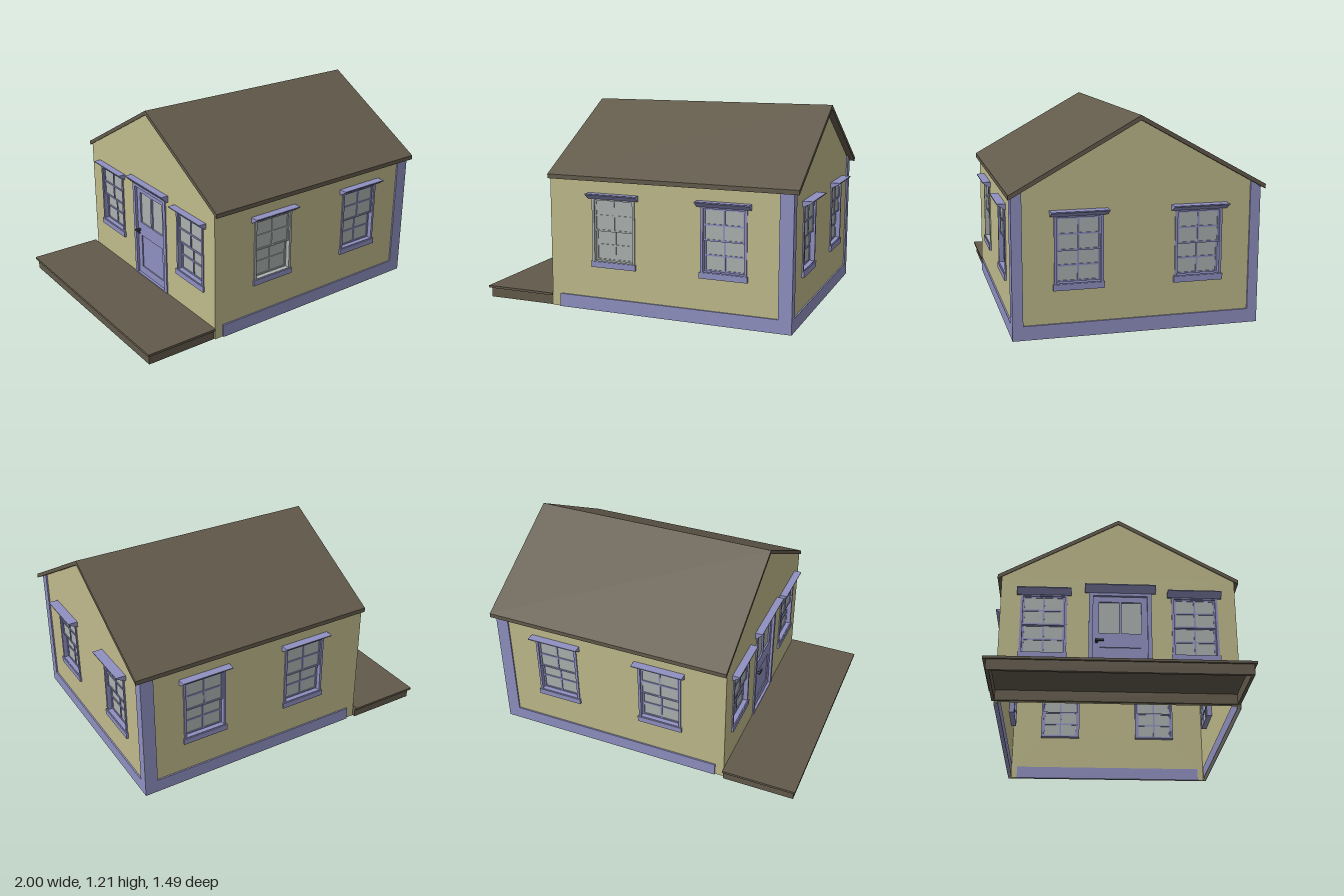
import * as THREE from 'three';

const mat = (name, color) => {
  const m = new THREE.MeshStandardMaterial({ color });
  m.name = name;
  return m;
};

export function createModel() {
  const wallMat = mat('wall yellow', 0xbfba8b);
  const trimMat = mat('trim blue', 0x8f90c0);
  const glassMat = mat('window grey', 0xabb1b0);
  const roofMat = mat('roof brown', 0x625a4b);
  const metalMat = mat('handle dark', 0x33333f);

  const model = new THREE.Group();
  model.name = 'cottage';
  const T = 0.012;                                  // wall thickness
  const X0 = -0.545, X1 = 0.94, Z = 0.695;          // wall faces
  const under = z => 1.182 - Math.abs(z) * 0.5556;  // underside of the roof

  const add = (parent, name, geo, m) => {
    const mesh = new THREE.Mesh(geo, m);
    mesh.name = name;
    parent.add(mesh);
    return mesh;
  };
  // Box given by its limits
  const box = (parent, name, m, x0, x1, y0, y1, z0, z1) => {
    const g = new THREE.BoxGeometry(x1 - x0, y1 - y0, z1 - z0);
    g.translate((x0 + x1) / 2, (y0 + y1) / 2, (z0 + z1) / 2);
    return add(parent, name, g, m);
  };
  // Flat plate from an outline with rectangular holes [x0, x1, y0, y1]
  const plate = (parent, name, m, pts, holes, z0, z1) => {
    const s = new THREE.Shape(pts.map(p => new THREE.Vector2(...p)));
    for (const [a, b, c, d] of holes) {
      s.holes.push(new THREE.Path([[a, c], [a, d], [b, d], [b, c]].map(p => new THREE.Vector2(...p))));
    }
    const g = new THREE.ExtrudeGeometry(s, { depth: z1 - z0, bevelEnabled: false });
    g.translate(0, 0, z0);
    return add(parent, name, g, m);
  };
  const rect = (a, b, c, d) => [[a, c], [b, c], [b, d], [a, d]];

  // Wedge-shaped hood: flat top, underside sloping back to the wall
  const hood = (parent, w, y0, y1, out) => {
    const s = new THREE.Shape([[-0.005, y0], [0.008, y0], [out, y1 - 0.006], [out, y1], [-0.005, y1]]
      .map(p => new THREE.Vector2(...p)));
    const g = new THREE.ExtrudeGeometry(s, { depth: w, bevelEnabled: false });
    g.translate(0, 0, -w / 2);
    g.rotateY(-Math.PI / 2);
    add(parent, 'hood', g, trimMat);
  };

  // Sash window; the outer wall face is z = 0
  const HW = 0.137, Y0 = 0.3, Y1 = 0.68;
  const makeWindow = (side, x, out, frameMat = trimMat) => {
    const w = new THREE.Group();
    w.name = 'window';
    w.position.x = x;
    side.add(w);
    plate(w, 'windowFrame', frameMat, rect(-HW, HW, Y0, Y1),
      [[-HW + 0.015, HW - 0.015, Y0 + 0.006, Y1 - 0.012]], -0.045, 0.007);
    // Upper sash sits in front of the lower one
    for (const [a, b, z] of [[Y0 + 0.004, 0.493, -0.028], [0.483, Y1 - 0.01, -0.01]]) {
      const h = HW - 0.013, mid = (a + b) / 2, holes = [];
      for (const sx of [-1, 1]) {
        const l = sx < 0 ? -h + 0.012 : 0.005, r = sx < 0 ? -0.005 : h - 0.012;
        holes.push([l, r, a + 0.01, mid - 0.005], [l, r, mid + 0.005, b - 0.01]);
      }
      plate(w, 'sash', frameMat, rect(-h, h, a, b), holes, z - 0.007, z + 0.007);
      box(w, 'glass', glassMat, -h + 0.004, h - 0.004, a + 0.004, b - 0.004, z - 0.002, z + 0.002);
    }
    box(w, 'sill', trimMat, -0.143, 0.143, 0.267, 0.302, -0.01, 0.013);
    hood(w, 0.32, 0.676, 0.71, out);
  };

  // Panelled door with two lights
  const makeDoor = (side, x) => {
    const d = new THREE.Group();
    d.name = 'door';
    d.position.x = x;
    side.add(d);
    plate(d, 'doorFrame', trimMat, rect(-0.185, 0.185, 0.07, 0.7),
      [[-0.16, 0.16, 0.08, 0.68]], -0.045, 0.008);
    plate(d, 'doorLeaf', trimMat, rect(-0.16, 0.16, 0.08, 0.68),
      [[-0.125, -0.008, 0.44, 0.645], [0.008, 0.125, 0.44, 0.645], [-0.12, 0.12, 0.13, 0.35]], -0.032, -0.008);
    box(d, 'doorPanel', trimMat, -0.125, 0.125, 0.125, 0.355, -0.025, -0.015);
    box(d, 'doorGlass', glassMat, -0.13, 0.13, 0.435, 0.65, -0.022, -0.018);
    const knob = new THREE.CylinderGeometry(0.009, 0.009, 0.03, 12);
    knob.rotateX(Math.PI / 2);
    knob.translate(-0.138, 0.385, 0.005);
    add(d, 'handleSpindle', knob, metalMat);
    box(d, 'handleLever', metalMat, -0.147, -0.095, 0.379, 0.391, 0.015, 0.024);
    hood(d, 0.42, 0.698, 0.74, 0.045);
  };

  const opening = x => [x - HW + 0.004, x + HW - 0.004, Y0 + 0.002, Y1 - 0.004];
  const sideGroup = (name, x, z, turn) => {
    const g = new THREE.Group();
    g.name = name;
    g.position.set(x, 0, z);
    g.rotation.y = turn;
    model.add(g);
    return g;
  };

  // Long front and back walls; s flips x for the back
  for (const s of [1, -1]) {
    const g = sideGroup(s > 0 ? 'frontSide' : 'backSide', 0, s * Z, s > 0 ? 0 : Math.PI);
    const span = (a, b) => (s > 0 ? [a, b] : [-b, -a]);
    const xs = [-0.13, 0.55].map(x => s * x);
    plate(g, 'wall', wallMat, rect(...span(X0 + T, X1 - T), 0, under(Z)), xs.map(opening), -T, 0);
    box(g, 'baseBoard', trimMat, ...span(-0.49, 0.87), 0, 0.08, -0.016, 0.009);
    box(g, 'cornerBoard', trimMat, ...span(0.87, X1 + 0.009), 0, under(0.705), 0, 0.009);
    xs.forEach((x, i) => makeWindow(g, x, 0.049, s > 0 && i === 0 ? glassMat : trimMat));
  }

  // Gable walls
  const gable = [[-Z, 0], [Z, 0], [Z, under(Z)], [0, under(0)], [-Z, under(Z)]];
  const right = sideGroup('gableSide', X1, 0, Math.PI / 2);
  const rightXs = [-0.335, 0.345];
  plate(right, 'gableWall', wallMat, gable, rightXs.map(opening), -T, 0);
  box(right, 'baseBoard', trimMat, -0.645, 0.645, 0, 0.08, -0.016, 0.009);
  for (const s of [1, -1]) {
    const pts = [[0.645, 0], [Z, 0], [Z, under(Z)], [0.645, under(0.645)]].map(([x, y]) => [s * x, y]);
    plate(right, 'cornerBoard', trimMat, pts, [], 0, 0.009);
  }
  rightXs.forEach(x => makeWindow(right, x, 0.059));

  const left = sideGroup('doorSide', X0, 0, -Math.PI / 2);
  const leftXs = [-0.44, 0.45];
  plate(left, 'gableWall', wallMat, gable,
    [...leftXs.map(opening), [-0.17, 0.19, 0.074, 0.695]], -T, 0);
  leftXs.forEach(x => makeWindow(left, x, 0.045));
  makeDoor(left, 0.01);

  // Roof: folded slab along x
  const E = 0.72;
  const roof = plate(model, 'roof', roofMat,
    [[-E, under(E)], [0, under(0)], [E, under(E)], [E, under(E) + 0.026], [0, 1.208], [-E, under(E) + 0.026]],
    [], 0, 1.53);
  roof.rotation.y = Math.PI / 2;
  roof.position.x = -0.55;

  // Deck, open underneath
  const deck = new THREE.Group();
  deck.name = 'deck';
  model.add(deck);
  box(deck, 'deckTop', roofMat, -1, -0.547, 0.06, 0.074, -0.73, 0.703);
  box(deck, 'deckSkirtOuter', roofMat, -0.988, -0.97, 0, 0.06, -0.712, 0.688);
  box(deck, 'deckSkirtInner', roofMat, -0.566, -0.548, 0, 0.06, -0.712, 0.688);
  box(deck, 'deckSkirtBack', roofMat, -0.97, -0.566, 0, 0.06, -0.712, -0.694);
  box(deck, 'deckSkirtFront', roofMat, -0.97, -0.566, 0, 0.06, 0.67, 0.688);

  return model;
}
